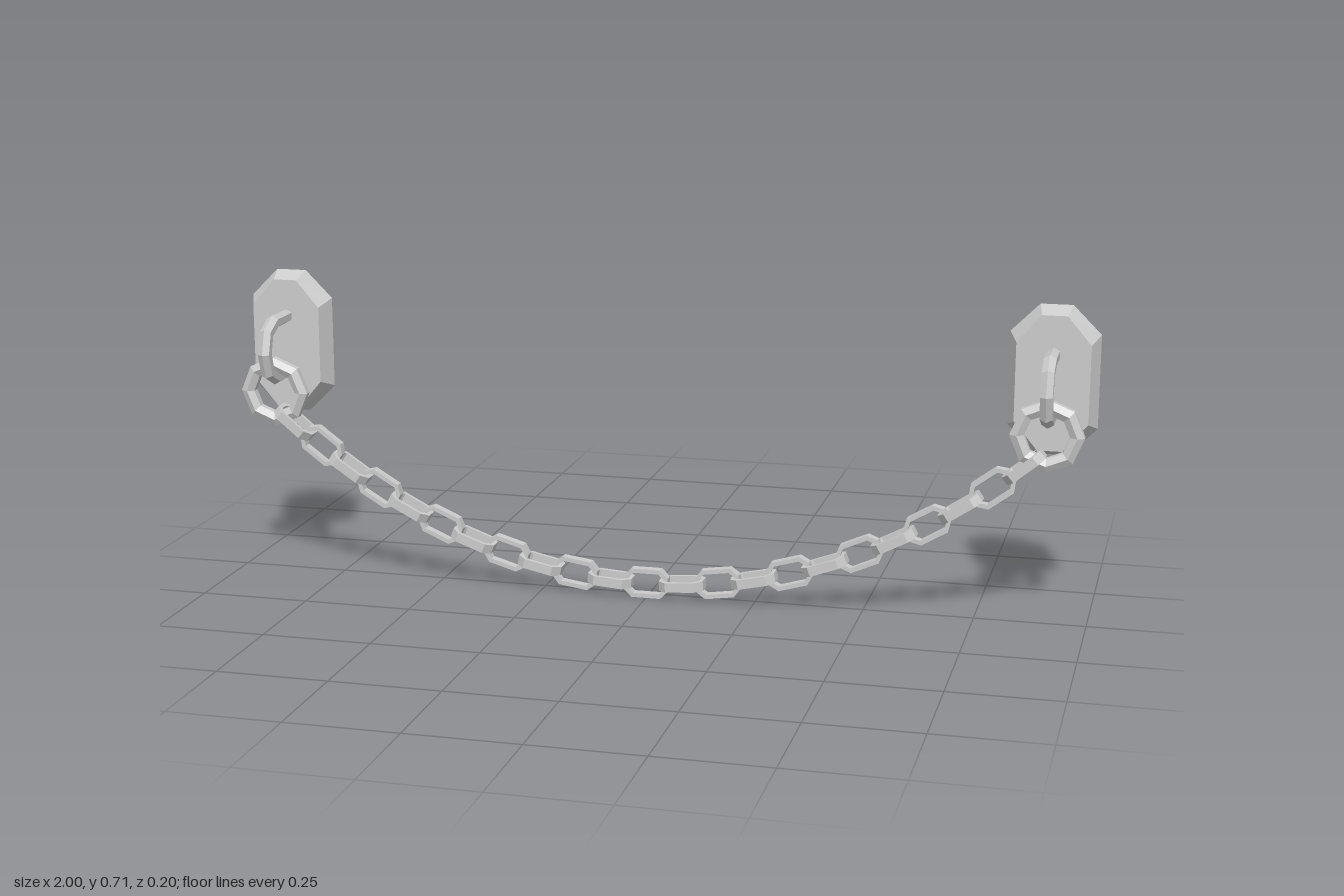
import * as THREE from 'three';
import { ConvexGeometry } from 'three/addons/geometries/ConvexGeometry.js';

const material = new THREE.MeshStandardMaterial({ color: 0xcccccc, flatShading: true });
const CHAIN_Z = 0.025;

function mesh(name, geometry) {
  const m = new THREE.Mesh(geometry, material);
  m.name = name;
  return m;
}

// Six-sided bar swept along a flat path in the xy plane, with mitred corners
function sweepBar(path, closed, radius, phase) {
  const sides = 6, n = path.length, verts = [];
  const dir = (a, b) => new THREE.Vector2().subVectors(b, a).normalize();
  const rings = path.map((p, i) => {
    const hasPrev = closed || i > 0, hasNext = closed || i < n - 1;
    const next = hasNext ? dir(p, path[(i + 1) % n]) : dir(path[i - 1], p);
    const prev = hasPrev ? dir(path[(i + n - 1) % n], p) : next;
    const t = prev.clone().add(next).normalize();
    const miter = 1 / t.dot(next);
    return Array.from({ length: sides }, (_, j) => {
      const a = phase + (j / sides) * Math.PI * 2;
      const r = Math.cos(a) * radius * miter;
      return [p.x + t.y * r, p.y - t.x * r, Math.sin(a) * radius];
    });
  });
  const tri = (...corners) => corners.forEach((c) => verts.push(...c));
  for (let i = 0; i < (closed ? n : n - 1); i++) {
    const A = rings[i], B = rings[(i + 1) % n];
    for (let j = 0; j < sides; j++) {
      const k = (j + 1) % sides;
      tri(A[j], B[j], A[k]);
      tri(A[k], B[j], B[k]);
    }
  }
  if (!closed) {
    const A = rings[0], B = rings[n - 1];
    for (let j = 1; j < sides - 1; j++) {
      tri(A[0], A[j], A[j + 1]);
      tri(B[0], B[j + 1], B[j]);
    }
  }
  const g = new THREE.BufferGeometry();
  g.setAttribute('position', new THREE.Float32BufferAttribute(verts, 3));
  g.computeVertexNormals();
  return g;
}

// Rectangle with cut corners
function cutRect(w, h, c) {
  return [[w, c - h], [w, h - c], [w - c, h], [c - w, h], [-w, h - c], [-w, c - h], [c - w, -h], [w - c, -h]]
    .map(([x, y]) => new THREE.Vector2(x, y));
}

// Flat-band chain link lying in the xy plane
function linkGeometry() {
  const w = 0.052, h = 0.034, c = 0.018, t = 0.0098;
  const shape = new THREE.Shape(cutRect(w, h, c));
  shape.holes.push(new THREE.Path(cutRect(w - t, h - t, c - t * 0.586)));
  const g = new THREE.ExtrudeGeometry(shape, { depth: 0.022, bevelEnabled: false });
  return g.translate(0, 0, -0.011);
}

// Bevelled octagonal wall plate, wider at the back
function plateGeometry() {
  const points = [];
  for (const [x, y, z] of [[0.1, 0.106, -0.097], [0.036, 0.17, -0.097], [0.082, 0.089, -0.053], [0.028, 0.1525, -0.053]])
    for (const sx of [-1, 1])
      for (const sy of [-1, 1]) points.push(new THREE.Vector3(x * sx, y * sy, z));
  return new ConvexGeometry(points);
}

function createMount(side) {
  const mount = new THREE.Group();
  mount.name = side > 0 ? 'leftMount' : 'rightMount';
  mount.position.x = 0.9 * side;

  const plate = mesh('wallPlate', plateGeometry());
  plate.position.y = 0.536;

  // U-shaped staple whose legs run through the plate
  const staplePath = [[-0.0985, -0.066], [0.026, -0.066], [0.067, -0.046], [0.081, 0], [0.067, 0.046], [0.026, 0.066], [-0.0985, 0.066]]
    .map(([x, y]) => new THREE.Vector2(x, y));
  const staple = mesh('staple', sweepBar(staplePath, false, 0.016, 0));
  staple.rotation.y = -Math.PI / 2;
  staple.position.y = 0.536;

  // Eight-sided ring hanging from the staple
  const ringPath = Array.from({ length: 8 }, (_, i) => {
    const a = (i / 8) * Math.PI * 2;
    return new THREE.Vector2(Math.cos(a), Math.sin(a)).multiplyScalar(0.066);
  });
  const ring = mesh('ring', sweepBar(ringPath, true, 0.017, Math.PI / 6));
  ring.position.set(0, 0.437, CHAIN_Z);

  mount.add(plate, staple, ring);
  return mount;
}

// Links spaced evenly along the sagging curve, every other one turned flat
function createChain() {
  const chain = new THREE.Group();
  chain.name = 'chain';
  const geometry = linkGeometry();
  const height = (x) => 0.035 + 0.425 * x * x + 0.04 * x ** 4;
  const slope = (x) => 0.85 * x + 0.16 * x ** 3;
  const pitch = 0.0848, steps = 20;
  let x = 0;
  for (let i = 0; i <= 11; i++) {
    for (const side of i === 0 ? [1] : [1, -1]) {
      const link = mesh('chainLink', geometry);
      link.position.set(x * side, height(x), CHAIN_Z);
      link.rotation.order = 'ZYX';
      link.rotation.z = Math.atan(slope(x)) * side;
      link.rotation.x = i % 2 ? Math.PI / 2 : 0;
      chain.add(link);
    }
    for (let s = 0; s < steps; s++) x += pitch / steps / Math.hypot(1, slope(x));
  }
  return chain;
}

export function createModel() {
  const model = new THREE.Group();
  model.name = 'hangingChain';
  model.add(createMount(1), createMount(-1), createChain());
  return model;
}
